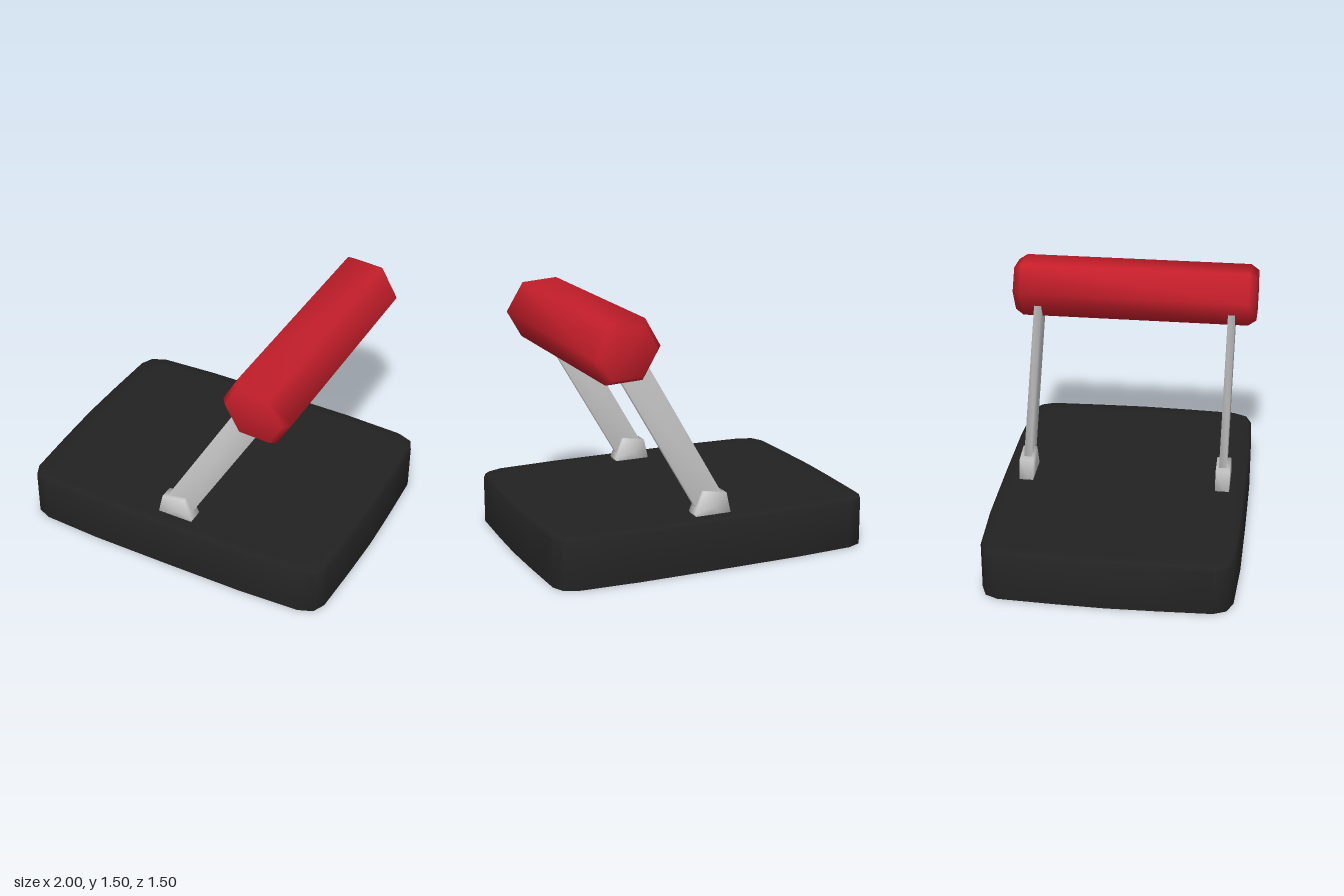
import * as THREE from 'three';
import { toCreasedNormals } from 'three/addons/utils/BufferGeometryUtils.js';

// Closed solid through rings of a counter-clockwise outline: each section is [z, scale]
function loft(outline, sections, cx = 0, cy = 0) {
  const n = outline.length, pos = [], index = [];
  for (const [z, s] of sections)
    for (const [x, y] of outline) pos.push(cx + (x - cx) * s, cy + (y - cy) * s, z);
  const last = (sections.length - 1) * n, c0 = last + n, c1 = c0 + 1;
  pos.push(cx, cy, sections[0][0], cx, cy, sections[sections.length - 1][0]);
  for (let i = 0; i < n; i++) {
    const j = (i + 1) % n;
    for (let k = 0; k < last; k += n)
      index.push(k + i, k + j, k + n + j, k + i, k + n + j, k + n + i);
    index.push(c0, j, i, c1, last + i, last + j);
  }
  const g = new THREE.BufferGeometry();
  g.setAttribute('position', new THREE.Float32BufferAttribute(pos, 3));
  g.setIndex(index);
  g.computeVertexNormals();
  return g;
}

export function createModel() {
  const model = new THREE.Group();
  const black = new THREE.MeshStandardMaterial({ color: 0x222222 });
  const red = new THREE.MeshStandardMaterial({ color: 0xc41e2a });
  const grey = new THREE.MeshStandardMaterial({ color: 0xcccccc });
  const add = (name, geometry, material, z = 0) => {
    const mesh = new THREE.Mesh(geometry, material);
    mesh.name = name;
    mesh.position.z = z;
    model.add(mesh);
  };

  // Base: slab with bulging sides, rounded corners and a bevelled top edge
  const q = [[1, 0], [0.993, 0.3], [0.98, 0.62], [0.945, 0.695], [0.86, 0.73], [0.5, 0.748], [0, 0.75]];
  const half = [...q, ...q.slice(0, -1).reverse().map(([x, y]) => [-x, y])];
  const outline = [...half, ...half.slice(1, -1).reverse().map(([x, y]) => [x, -y])];
  const base = loft(outline, [[0, 1], [0.285, 1], [0.3, 0.98], [0.3, 0.9]]);
  base.rotateX(-Math.PI / 2);
  add('base', toCreasedNormals(base, 1.0), black);

  // Handle: tilted six-sided grip with chamfered ends
  const hex = [[0.775, 1.305], [0.668, 1.481], [0.449, 1.497], [0.358, 1.337], [0.465, 1.155], [0.684, 1.144]];
  add('handle', loft(hex, [[-0.75, 0.82], [-0.7, 1], [0.7, 1], [0.75, 0.82]], 0.566, 1.32), red);

  // Pair of flat leaning arms, each held by a small bracket
  const plate = [[0.087, 0], [0.087, 1], [-0.087, 1], [-0.087, 0]];
  const bracket = [[0.09, 0.24], [0.118, 0.315], [0.064, 0.444], [-0.08, 0.422], [-0.118, 0.25]];
  for (const side of [1, -1]) {
    const arm = loft(plate, [[-0.022, 1], [0.022, 1]], 0, 0.5);
    arm.rotateZ(-Math.PI / 6);
    arm.translate(0.025, 0.389, 0);
    const prefix = side > 0 ? 'front' : 'back';
    add(prefix + 'Arm', arm, grey, side * 0.6);
    add(prefix + 'Bracket', loft(bracket, [[-0.043, 1], [0.043, 1]], 0, 0.34), grey, side * 0.603);
  }
  return model;
}
